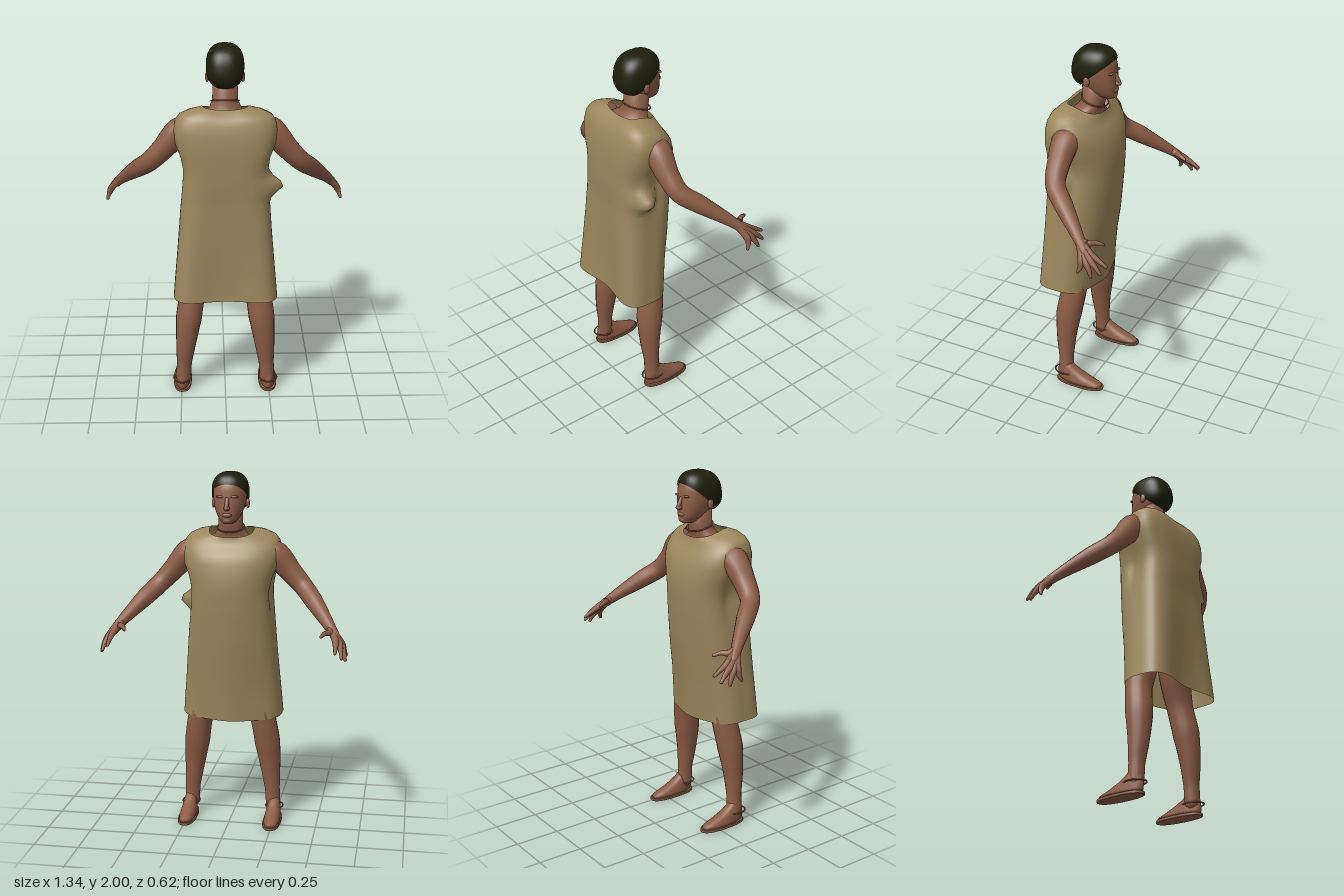
import * as THREE from 'three';

const mat = (name, color, side = THREE.FrontSide) => {
  const m = new THREE.MeshStandardMaterial({ color, side });
  m.name = name;
  return m;
};

// Skin over rows of points; rows run along the part, each row is a closed loop
function skinRows(rows) {
  const n = rows[0].length, pos = [], idx = [];
  rows.forEach(r => r.forEach(p => pos.push(p.x, p.y, p.z)));
  for (let i = 0; i < rows.length - 1; i++) {
    for (let j = 0; j < n; j++) {
      const a = i * n + j, b = i * n + (j + 1) % n;
      idx.push(a, a + n, b, b, a + n, b + n);
    }
  }
  const g = new THREE.BufferGeometry();
  g.setAttribute('position', new THREE.Float32BufferAttribute(pos, 3));
  g.setIndex(idx);
  g.computeVertexNormals();
  return g;
}

// Stack of horizontal sections [y, halfWidth, zFront, zBack] with separate front and back roundness
function stack(sections, { cx = 0, seg = 32, nf = 2, nb = 2, capped = true, warp } = {}) {
  const rows = sections.map(([y, hw, zf, zb]) => {
    const zc = (zf + zb) / 2;
    return Array.from({ length: seg }, (_, j) => {
      const t = j / seg * Math.PI * 2, c = Math.cos(t), s = Math.sin(t), e = 2 / (s < 0 ? nf : nb);
      const p = new THREE.Vector3(cx + hw * Math.sign(c) * Math.abs(c) ** e, y,
        zc + (zb - zf) / 2 * Math.sign(s) * Math.abs(s) ** e);
      if (warp) warp(p, s);
      return p;
    });
  });
  const cap = ([y, , zf, zb]) => Array.from({ length: seg }, () => new THREE.Vector3(cx, y, (zf + zb) / 2));
  if (capped) {
    rows.unshift(cap(sections[0]));
    rows.push(cap(sections[sections.length - 1]));
  }
  return skinRows(rows);
}

// Smooth round limb through points [x, y, z, radius], closed at both ends
function limb(points, steps = 16, seg = 14) {
  const curve = new THREE.CatmullRomCurve3(points.map(p => new THREE.Vector3(p[0], p[1], p[2])));
  const rows = [];
  for (let i = 0; i <= steps; i++) {
    const t = i / steps, f = t * (points.length - 1), k = Math.min(Math.floor(f), points.length - 2);
    const r = THREE.MathUtils.lerp(points[k][3], points[k + 1][3], f - k);
    const c = curve.getPoint(t), T = curve.getTangent(t);
    const u = new THREE.Vector3(0.3, 0.2, 1).cross(T).normalize(), v = u.clone().cross(T);
    const ring = q => Array.from({ length: seg }, (_, j) => {
      const a = j / seg * Math.PI * 2;
      return c.clone().addScaledVector(u, q * Math.cos(a)).addScaledVector(v, q * Math.sin(a));
    });
    if (i === 0) rows.push(ring(0));
    rows.push(ring(r));
    if (i === steps) {
      c.addScaledVector(T, r * 0.5);
      rows.push(ring(r * 0.6), ring(0));
    }
  }
  return skinRows(rows);
}

const ball = (x, y, z, rx, ry, rz) =>
  new THREE.SphereGeometry(1, 16, 12).scale(rx, ry, rz).translate(x, y, z);
const bump = (d, width) => Math.exp(-((d / width) ** 2));

// Tilted cap cut from a slightly boxy ball
function hairCap() {
  const g = new THREE.SphereGeometry(1, 40, 24, 0, Math.PI * 2, 0, 1.92).rotateX(0.78);
  const pos = g.attributes.position, p = new THREE.Vector3();
  for (let i = 0; i < pos.count; i++) {
    p.fromBufferAttribute(pos, i);
    const k = 2.5;
    p.divideScalar((Math.abs(p.x) ** k + Math.abs(p.y) ** k + Math.abs(p.z) ** k) ** (1 / k));
    pos.setXYZ(i, p.x * 0.1, p.y * 0.113, p.z * 0.117 - p.y * 0.016);
  }
  g.computeVertexNormals();
  return g.translate(0, 1.887, 0.064);
}

export function createModel() {
  const skin = mat('skin', 0x8a5c47), cloth = mat('cloth', 0x9b875c, THREE.DoubleSide);
  const hair = mat('hair', 0x1e1e0c, THREE.DoubleSide);
  const model = new THREE.Group();
  const add = (name, geo, m, parent = model) => {
    const mesh = new THREE.Mesh(geo, m);
    mesh.name = name;
    parent.add(mesh);
    return mesh;
  };

  // Body and neck
  add('torso', stack([[0.82, 0.15, 0.04, 0.2], [0.95, 0.18, 0.02, 0.22], [1.2, 0.16, 0.0, 0.2],
    [1.45, 0.19, -0.03, 0.22], [1.56, 0.18, 0.0, 0.22], [1.62, 0.15, 0.03, 0.2],
    [1.66, 0.09, 0.02, 0.16], [1.7, 0.068, 0.003, 0.13], [1.8, 0.066, -0.01, 0.13]]), skin);

  // Tunic hanging loose: square neckline, soft folds, tucked sides and one gathered pleat
  const tunicRows = [[0.625, 0.285, 0.0, 0.326], [0.72, 0.277, -0.01, 0.32], [0.85, 0.265, -0.025, 0.311],
    [1.0, 0.252, -0.05, 0.302], [1.1, 0.245, -0.06, 0.295], [1.17, 0.24, -0.067, 0.289],
    [1.2, 0.238, -0.07, 0.288], [1.23, 0.236, -0.073, 0.287], [1.26, 0.234, -0.075, 0.286],
    [1.29, 0.232, -0.077, 0.285], [1.32, 0.23, -0.079, 0.285], [1.36, 0.23, -0.081, 0.284],
    [1.42, 0.24, -0.081, 0.283], [1.5, 0.268, -0.07, 0.28], [1.57, 0.274, -0.05, 0.272],
    [1.62, 0.264, -0.027, 0.26], [1.652, 0.24, -0.008, 0.245], [1.678, 0.185, 0.0, 0.222],
    [1.693, 0.123, 0.0, 0.188]];
  add('tunic', stack(tunicRows, {
    seg: 72, nf: 2.3, nb: 3.6, capped: false,
    warp: (p, s) => {
      const low = THREE.MathUtils.clamp((1.3 - p.y) / 0.6, 0, 1);
      const high = THREE.MathUtils.smoothstep(p.y, 1.5, 1.69);
      p.x *= 1 - 0.1 * bump(p.y - 1.32, 0.12) * bump(p.z - 0.1, 0.05);
      p.z += Math.cos(p.x * 22) * 0.006 * low * s;
      if (s > 0) p.z -= 0.05 * s * bump(p.x, 0.13) * low;
      if (p.x > 0.12) p.x += 0.08 * bump(p.y - 1.27, 0.05) * bump(p.z - 0.19, 0.06);
      if (p.y < 0.65) p.y -= Math.max(0, 0.15 - p.z) * 0.12;
      p.y -= Math.max(0, 0.13 - p.z) * 0.36 * high;
      if (s > 0) p.y -= 0.012 * high * bump(p.x, 0.09);
    },
  }), cloth);

  // Neck cord
  const cord = add('neckCord', new THREE.TorusGeometry(0.074, 0.004, 6, 32), skin);
  cord.rotation.x = Math.PI / 2 - 0.3;
  cord.position.set(0, 1.698, 0.063);

  // Head and face, looking toward -z
  const head = new THREE.Group();
  head.name = 'head';
  model.add(head);
  add('skull', stack([[1.725, 0.025, -0.05, 0.02], [1.738, 0.042, -0.062, 0.06], [1.76, 0.06, -0.065, 0.1],
    [1.8, 0.078, -0.066, 0.13], [1.85, 0.089, -0.061, 0.15], [1.9, 0.091, -0.058, 0.16],
    [1.93, 0.086, -0.051, 0.15], [1.955, 0.07, -0.033, 0.125], [1.975, 0.035, 0.0, 0.07]], { nf: 2.3 }), skin, head);
  add('nose', ball(0, 1.812, -0.069, 0.017, 0.014, 0.022), skin, head);
  add('noseBridge', limb([[0, 1.865, -0.055, 0.01], [0, 1.818, -0.076, 0.012]], 4, 10), skin, head);
  add('lips', ball(0, 1.774, -0.061, 0.027, 0.012, 0.011), skin, head);
  add('chin', ball(0, 1.745, -0.051, 0.026, 0.017, 0.015), skin, head);
  for (const s of [-1, 1]) {
    add('ear', ball(s * 0.094, 1.828, 0.066, 0.011, 0.028, 0.018), skin, head);
    add('brow', ball(s * 0.036, 1.872, -0.051, 0.025, 0.007, 0.01), skin, head);
  }
  // Short hair reaching the nape
  add('hair', hairCap(), hair, head);

  for (const s of [-1, 1]) {
    const side = pts => pts.map(([x, y, z, r]) => [x * s, y, z, r]);
    // Arm with open hand
    const arm = new THREE.Group();
    arm.name = s > 0 ? 'leftArm' : 'rightArm';
    model.add(arm);
    add('armLimb', limb(side([[0.19, 1.57, 0.11, 0.07], [0.25, 1.54, 0.11, 0.075], [0.33, 1.45, 0.11, 0.061],
      [0.405, 1.37, 0.09, 0.053], [0.47, 1.305, 0.01, 0.05], [0.535, 1.235, -0.08, 0.037],
      [0.575, 1.19, -0.135, 0.029], [0.61, 1.145, -0.185, 0.024]]), 28), skin, arm);
    // Each finger: knuckle, middle joint, tip
    const fingers = [
      ['thumb', [0.572, 1.178, -0.175], [0.547, 1.178, -0.21], [0.53, 1.167, -0.25]],
      ['indexFinger', [0.604, 1.143, -0.212], [0.609, 1.117, -0.262], [0.61, 1.092, -0.305]],
      ['middleFinger', [0.624, 1.128, -0.212], [0.637, 1.095, -0.255], [0.643, 1.062, -0.286]],
      ['ringFinger', [0.636, 1.115, -0.2], [0.652, 1.075, -0.228], [0.661, 1.044, -0.242]],
      ['littleFinger', [0.638, 1.115, -0.178], [0.652, 1.08, -0.178], [0.661, 1.054, -0.166]],
    ];
    for (const [name, a, b, c] of fingers) {
      add(name, limb(side([[0.572, 1.193, -0.135, 0.02], [...a, 0.02], [...b, 0.013], [...c, 0.008]]), 10, 8),
        skin, arm);
    }

    // Leg, foot and sandal
    const leg = new THREE.Group();
    leg.name = s > 0 ? 'leftLeg' : 'rightLeg';
    model.add(leg);
    add('legLimb', limb(side([[0.1, 0.92, 0.11, 0.09], [0.145, 0.75, 0.105, 0.085], [0.182, 0.6, 0.108, 0.072],
      [0.205, 0.45, 0.13, 0.073], [0.222, 0.3, 0.14, 0.057], [0.234, 0.17, 0.138, 0.043],
      [0.24, 0.06, 0.138, 0.042]]), 24, 18), skin, leg);
    const cx = s * 0.246;
    add('foot', stack([[0.014, 0.046, -0.097, 0.182], [0.03, 0.045, -0.085, 0.187], [0.05, 0.042, -0.03, 0.187],
      [0.075, 0.038, 0.03, 0.184], [0.1, 0.033, 0.075, 0.178], [0.13, 0.026, 0.105, 0.17]],
    { cx, nf: 2.3 }), skin, leg);
    add('sole', stack([[0, 0.051, -0.1, 0.188], [0.002, 0.052, -0.102, 0.19], [0.014, 0.052, -0.102, 0.19],
      [0.016, 0.051, -0.1, 0.188]], { cx, nf: 2.4, nb: 2.6 }), skin, leg);
    add('ankleStrap', new THREE.TorusGeometry(0.05, 0.004, 6, 28)
      .rotateX(Math.PI / 2).scale(1, 1, 1.25).translate(cx, 0.068, 0.138), skin, leg);
  }
  return model;
}
